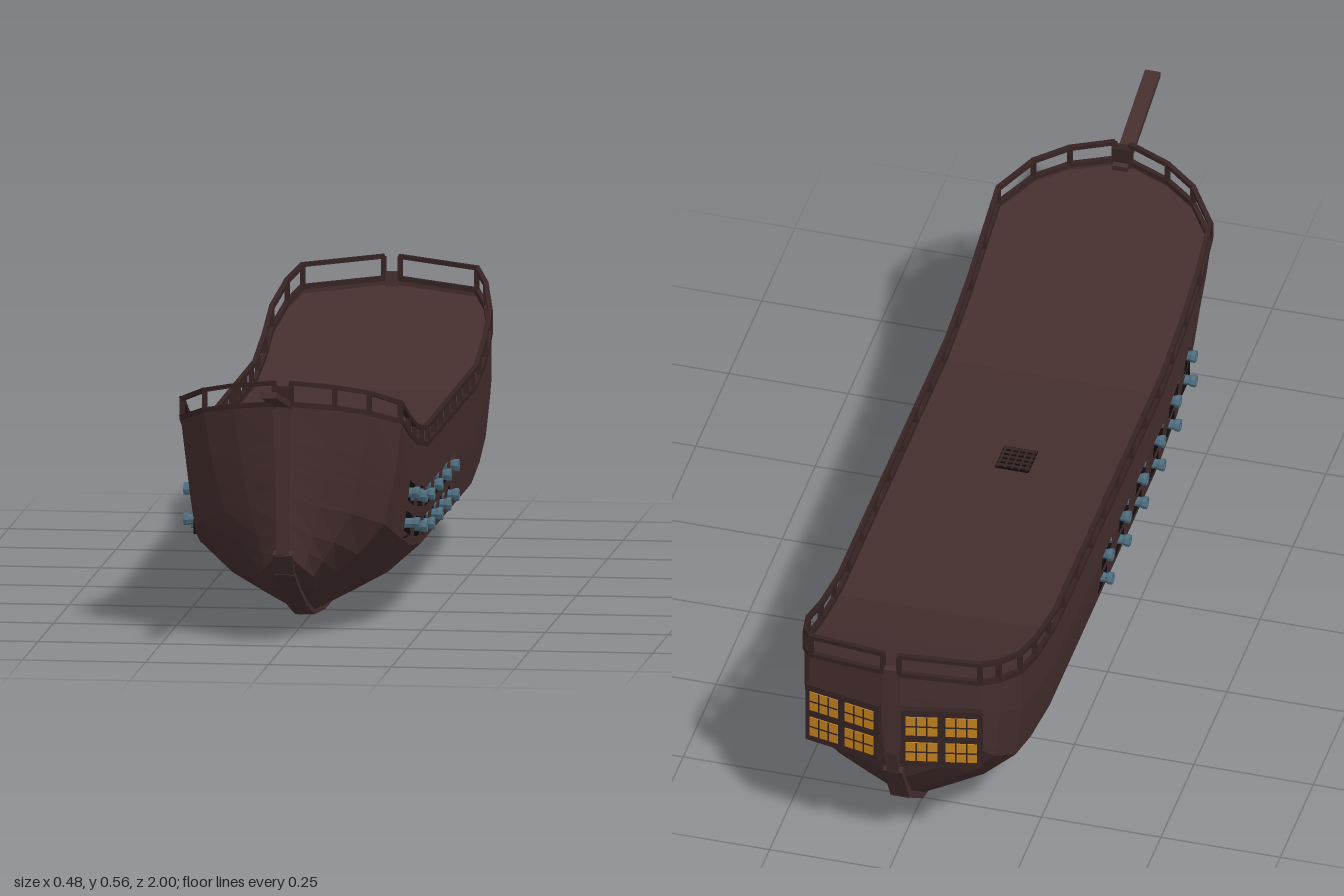
import * as THREE from 'three';

const mat = (name, color, side = THREE.FrontSide) => {
  const m = new THREE.MeshStandardMaterial({ color, side, flatShading: true });
  m.name = name;
  return m;
};

// Hull stations: z, keel height, top height, half width, bow sharpness
const STATIONS = [
  [-0.985, 0.28, 0.49, 0.02, 0], [-0.95, 0.2, 0.475, 0.18, 0], [-0.9, 0.13, 0.45, 0.205, 0],
  [-0.81, 0.06, 0.41, 0.225, 0], [-0.7, 0.03, 0.37, 0.227, 0], [-0.56, 0.01, 0.342, 0.228, 0],
  [0.25, 0.01, 0.342, 0.228, 0], [0.41, 0.025, 0.37, 0.228, 0.03], [0.53, 0.06, 0.405, 0.228, 0.15],
  [0.63, 0.1, 0.445, 0.225, 0.4], [0.7, 0.135, 0.472, 0.17, 0.75], [0.74, 0.155, 0.487, 0.105, 1],
  [0.768, 0.19, 0.497, 0.02, 1],
];
// Section levels: height fraction, midship width, bow width
const LEVELS = [
  [0, 0.08, 0.4], [0.1, 0.36, 0.46], [0.21, 0.65, 0.54], [0.39, 0.945, 0.68], [0.44, 0.955, 0.71],
  [0.56, 0.975, 0.79], [0.62, 0.985, 0.82], [0.74, 1, 0.88], [1, 1, 1],
];
const PORT_Z = [-0.17, -0.04, 0.09, 0.22, 0.34, 0.46];
const PORT_HALF = 0.036;
const PORT_LEVELS = [4, 6]; // level bands that hold gun ports

function sample(z) {
  let i = 0;
  while (i < STATIONS.length - 2 && z > STATIONS[i + 1][0]) i++;
  const a = STATIONS[i], b = STATIONS[i + 1];
  const t = (z - a[0]) / (b[0] - a[0]);
  return a.map((v, k) => v + (b[k] - v) * t);
}

function geometryFromQuads(quads) {
  const pos = [];
  for (const [a, b, c, d] of quads) for (const p of [a, b, c, a, c, d]) pos.push(...p);
  const g = new THREE.BufferGeometry();
  g.setAttribute('position', new THREE.Float32BufferAttribute(pos, 3));
  g.computeVertexNormals();
  return g;
}

export function createModel() {
  const model = new THREE.Group();
  model.name = 'sailingShipHull';
  const wood = mat('darkWood', 0x452e2e, THREE.DoubleSide);
  const trim = mat('trimWood', 0x362323);
  const black = mat('portBlack', 0x0d0b0c);
  const iron = mat('blueIron', 0x4f6e7e);
  const gold = mat('windowGold', 0xc0801c);

  const add = (name, geo, material, parent = model) => {
    const m = new THREE.Mesh(geo, material);
    m.name = name;
    parent.add(m);
    return m;
  };
  const box = (name, w, h, d, x, y, z, material, parent) => {
    const m = add(name, new THREE.BoxGeometry(w, h, d), material, parent);
    m.position.set(x, y, z);
    return m;
  };
  // Square beam between two points
  const beam = (name, a, b, w, h, material = trim) => {
    const p = new THREE.Vector3(...a), q = new THREE.Vector3(...b);
    const m = add(name, new THREE.BoxGeometry(w, h, p.distanceTo(q) + Math.min(w, h) * 0.5), material);
    m.position.copy(p).add(q).multiplyScalar(0.5);
    m.lookAt(q);
    return m;
  };

  // Hull skin, with openings left for the gun ports
  const zs = STATIONS.map((s) => s[0]);
  for (const z of PORT_Z) zs.push(z - PORT_HALF, z + PORT_HALF);
  zs.sort((a, b) => a - b);
  const isPort = (z) => PORT_Z.some((p) => Math.abs(z - p) < PORT_HALF);
  const n = LEVELS.length;
  const rings = zs.map((z) => {
    const [, keel, top, w, f] = sample(z);
    const half = LEVELS.map(([v, mid, bow]) => [w * (mid + (bow - mid) * f), keel + (top - keel) * v, z]);
    return [...half.map(([x, y, zz]) => [-x, y, zz]).reverse(), ...half];
  });
  const quads = [];
  for (let i = 0; i < rings.length - 1; i++) {
    const port = isPort((zs[i] + zs[i + 1]) / 2);
    for (let j = 0; j < 2 * n - 1; j++) {
      const level = j >= n ? j - n : n - 2 - j;
      if (port && PORT_LEVELS.includes(level)) continue;
      quads.push([rings[i][j], rings[i][j + 1], rings[i + 1][j + 1], rings[i + 1][j]]);
    }
  }
  // Narrow closing strips at stern and bow
  for (const r of [rings[0], rings[rings.length - 1]])
    for (let j = 0; j < n - 1; j++) quads.push([r[j], r[j + 1], r[2 * n - 2 - j], r[2 * n - 1 - j]]);
  add('hull', geometryFromQuads(quads), wood);

  // Deck follows the sheer just below the hull edge
  const deckEdge = (s, side) => [side * (s[3] - 0.004), s[2] - 0.014, s[0]];
  const deck = [];
  for (let i = 0; i < STATIONS.length - 1; i++) {
    const a = STATIONS[i], b = STATIONS[i + 1];
    deck.push([deckEdge(a, -1), deckEdge(b, -1), deckEdge(b, 1), deckEdge(a, 1)]);
  }
  add('deck', geometryFromQuads(deck), wood);

  // Railings and edge trim
  const railHeight = (z) => 0.033 + 0.012 * THREE.MathUtils.smoothstep(Math.abs(z), 0.4, 0.9);
  const postZ = STATIONS.filter((s) => s[0] < -0.8 || s[0] > 0.6).map((s) => s[0]);
  for (let k = 1; k <= 13; k++) postZ.push(-0.81 + (k * 1.44) / 14);
  for (const side of [-1, 1]) {
    const edge = (z, up) => {
      const s = sample(z);
      return [side * (s[3] - 0.003), s[2] + up, z];
    };
    for (let i = 0; i < STATIONS.length - 1; i++) {
      const a = STATIONS[i][0], b = STATIONS[i + 1][0];
      beam('gunwale', edge(a, 0), edge(b, 0), 0.01, 0.01);
      beam('topRail', edge(a, railHeight(a)), edge(b, railHeight(b)), 0.01, 0.009);
    }
    for (const z of postZ) {
      const p = edge(z, railHeight(z) / 2);
      box('railPost', 0.01, railHeight(z), 0.01, ...p, trim);
    }
  }

  // Keel, stem and stern post
  const spine = [
    [0.5, -0.988], [0.29, -0.982], [0.23, -0.965], [0.13, -0.91], [0.055, -0.81], [0.025, -0.7],
    [0.008, -0.56], [0.008, 0.25], [0.022, 0.41], [0.057, 0.53], [0.1, 0.63], [0.15, 0.74],
    [0.19, 0.768], [0.5, 0.772],
  ];
  for (let i = 0; i < spine.length - 1; i++) {
    const [y0, z0] = spine[i], [y1, z1] = spine[i + 1];
    const width = i === spine.length - 2 ? 0.026 : 0.04;
    beam('keel', [0, y0, z0], [0, y1, z1], i < 2 ? 0.026 : width, 0.015, wood);
  }

  // Bowsprit and its seat
  beam('bowsprit', [0, 0.492, 0.75], [0, 0.549, 0.995], 0.032, 0.013, wood);
  box('bowspritSeat', 0.04, 0.045, 0.02, 0, 0.51, 0.766, trim);

  // Gun ports: inside-out boxes for the recess, with a barrel in each
  const recess = new THREE.BoxGeometry(0.08, 0.05, 2 * PORT_HALF + 0.006).scale(-1, 1, 1);
  const barrel = new THREE.LatheGeometry(
    [[0, -0.06], [0.013, -0.06], [0.01, 0.02], [0.013, 0.027], [0.013, 0.035], [0.006, 0.035], [0.006, 0.025], [0, 0.025]]
      .map(([r, y]) => new THREE.Vector2(r, y)), 8);
  for (const z of PORT_Z) {
    const [, keel, top] = sample(z);
    for (const level of PORT_LEVELS) {
      const y = keel + (top - keel) * (LEVELS[level][0] + LEVELS[level + 1][0]) / 2;
      for (const side of [-1, 1]) {
        add('gunPort', recess, black).position.set(side * 0.176, y, z);
        const gun = add('cannon', barrel, iron);
        gun.position.set(side * 0.205, y, z);
        gun.rotation.z = -side * Math.PI / 2;
      }
    }
  }

  // Stern windows: two angled panels of four panes each
  for (const side of [-1, 1]) {
    const panel = new THREE.Group();
    panel.name = 'sternWindows';
    panel.position.set(side * 0.102, 0.338, -0.97);
    panel.rotation.y = Math.PI - side * 0.21;
    model.add(panel);
    box('windowFrame', 0.165, 0.14, 0.022, 0, 0, 0, trim, panel);
    for (const px of [-0.04, 0.04]) for (const py of [-0.032, 0.032]) {
      box('windowPane', 0.064, 0.046, 0.004, px, py, 0.0115, gold, panel);
      for (const dx of [-0.011, 0.011]) box('mullion', 0.003, 0.046, 0.004, px + dx, py, 0.0125, trim, panel);
      box('mullion', 0.064, 0.003, 0.004, px, py, 0.0125, trim, panel);
    }
  }

  // Deck hatch with grating
  box('hatch', 0.07, 0.006, 0.07, 0, 0.329, -0.035, black);
  for (let k = -2; k <= 2; k++) {
    box('hatchBar', 0.07, 0.004, 0.005, 0, 0.333, -0.035 + k * 0.014, trim);
    box('hatchBar', 0.004, 0.004, 0.07, k * 0.015, 0.332, -0.035, trim);
  }
  return model;
}
